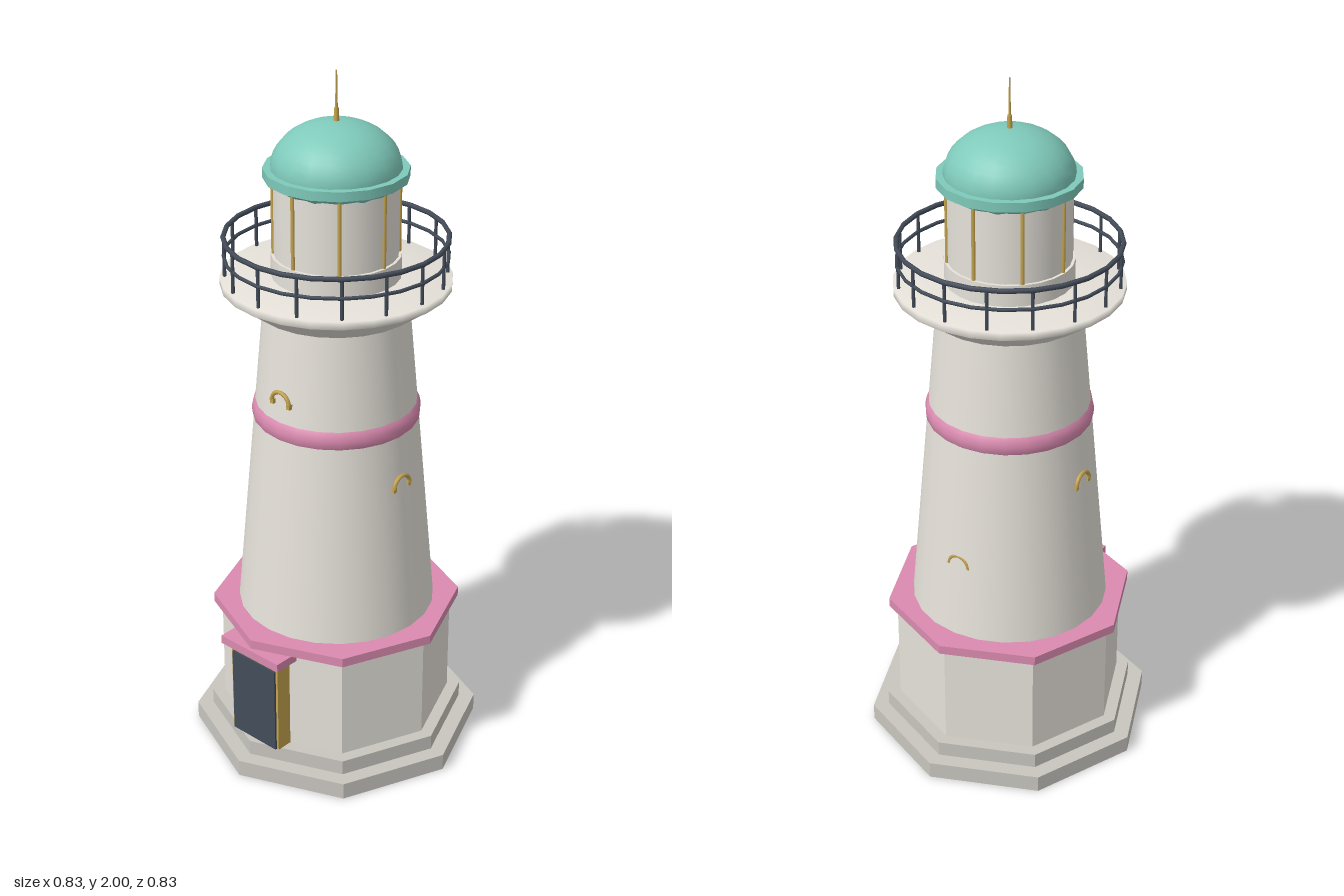
import * as THREE from 'three';

export function createModel() {
  const root = new THREE.Group();
  const mat = (name, color) => {
    const m = new THREE.MeshStandardMaterial({ color });
    m.name = name;
    return m;
  };
  const white = mat('white plaster', 0xe6e2da);
  const stone = mat('grey stone', 0xc9c6bf);
  const pink = mat('pink trim', 0xdb8bb0);
  const teal = mat('teal roof', 0x7fcabb);
  const gold = mat('brass', 0xc6a550);
  const slate = mat('dark slate', 0x434c59);

  const add = (name, geo, material, x = 0, y = 0, z = 0, parent = root) => {
    const mesh = new THREE.Mesh(geo, material);
    mesh.name = name;
    mesh.position.set(x, y, z);
    parent.add(mesh);
    return mesh;
  };
  // Straight-sided prism or drum between two heights
  const drum = (name, r0, r1, y0, y1, sides, material, flat = false) => {
    let geo = new THREE.CylinderGeometry(r1, r0, y1 - y0, sides);
    if (flat) {
      geo = geo.toNonIndexed();
      geo.computeVertexNormals();
    }
    return add(name, geo, material, 0, (y0 + y1) / 2, 0);
  };
  const lathe = (name, pts, sides, material) =>
    add(name, new THREE.LatheGeometry(pts.map(p => new THREE.Vector2(...p)), sides), material);
  const ring = (name, r, tube, y, material) => {
    const m = add(name, new THREE.TorusGeometry(r, tube, 6, 24), material, 0, y, 0);
    m.rotation.x = Math.PI / 2;
  };

  // Octagonal base
  drum('lowerStep', 0.416, 0.416, 0, 0.05, 8, stone, true);
  drum('upperStep', 0.37, 0.37, 0.05, 0.095, 8, stone, true);
  drum('baseHouse', 0.333, 0.333, 0.095, 0.41, 8, white, true);
  drum('baseCornice', 0.357, 0.357, 0.408, 0.435, 8, pink, true);

  // Door on the right side
  add('doorFrame', new THREE.BoxGeometry(0.06, 0.29, 0.18), gold, -0.314, 0.24, 0);
  add('doorPanel', new THREE.BoxGeometry(0.008, 0.265, 0.165), slate, -0.346, 0.2275, 0);
  add('doorCanopy', new THREE.BoxGeometry(0.1, 0.025, 0.22), pink, -0.315, 0.394, 0);

  // Tapered tower, painted band and flared gallery
  const towerRadius = y => 0.283 - 0.083 * (y - 0.43) / 0.92;
  lathe('tower', [[0.283, 0.43], [0.2, 1.35]], 24, white);
  lathe('towerBand', [[0.225, 1.015], [0.233, 1.025], [0.235, 1.045], [0.231, 1.065], [0.22, 1.077]], 24, pink);
  lathe('gallery', [[0.19, 1.345], [0.225, 1.35], [0.305, 1.408], [0.314, 1.413], [0.314, 1.435], [0.16, 1.44]], 24, white);

  // Arched windows climbing around the tower: [angle, height, projection]
  const windows = [[0, 0.875, 0], [Math.PI / 2, 0.65, -0.008], [Math.PI, 0.875, 0], [-Math.PI / 2, 1.13, 0.004]];
  for (const [angle, y, out] of windows) {
    const win = new THREE.Group();
    win.name = 'window';
    win.rotation.y = angle;
    win.position.y = y;
    root.add(win);
    const r = towerRadius(y) + out;
    add('windowArch', new THREE.TorusGeometry(0.032, 0.006, 6, 12, Math.PI), gold, 0, 0, r, win);
    for (const s of [-1, 1]) {
      add('archFoot', new THREE.BoxGeometry(0.012, 0.014, 0.012), gold, s * 0.03, -0.002, r - 0.003, win);
    }
  }

  // Gallery railing
  ring('topRail', 0.302, 0.007, 1.548, slate);
  ring('middleRail', 0.302, 0.005, 1.495, slate);
  for (let i = 0; i < 16; i++) {
    const a = i * Math.PI / 8;
    add('railPost', new THREE.CylinderGeometry(0.005, 0.005, 0.12, 6), slate,
      Math.sin(a) * 0.3, 1.488, Math.cos(a) * 0.3);
  }

  // Lantern room
  drum('lanternBase', 0.176, 0.176, 1.43, 1.5, 24, white);
  drum('lanternWall', 0.168, 0.168, 1.49, 1.715, 24, white);
  for (let i = 0; i < 8; i++) {
    const a = i * Math.PI / 4;
    add('lanternBar', new THREE.CylinderGeometry(0.006, 0.006, 0.25, 6), gold,
      Math.sin(a) * 0.168, 1.585, Math.cos(a) * 0.168);
  }

  // Domed roof and spire
  drum('roofSkirt', 0.166, 0.185, 1.695, 1.716, 16, teal);
  drum('roofRim', 0.195, 0.195, 1.714, 1.74, 16, teal);
  const dome = add('dome', new THREE.SphereGeometry(0.175, 20, 10, 0, Math.PI * 2, 0, Math.PI / 2), teal, 0, 1.738, 0);
  dome.scale.y = 0.73;
  drum('spireBase', 0.008, 0.006, 1.855, 1.9, 8, gold);
  drum('spire', 0.004, 0.002, 1.89, 2, 6, gold);

  return root;
}
